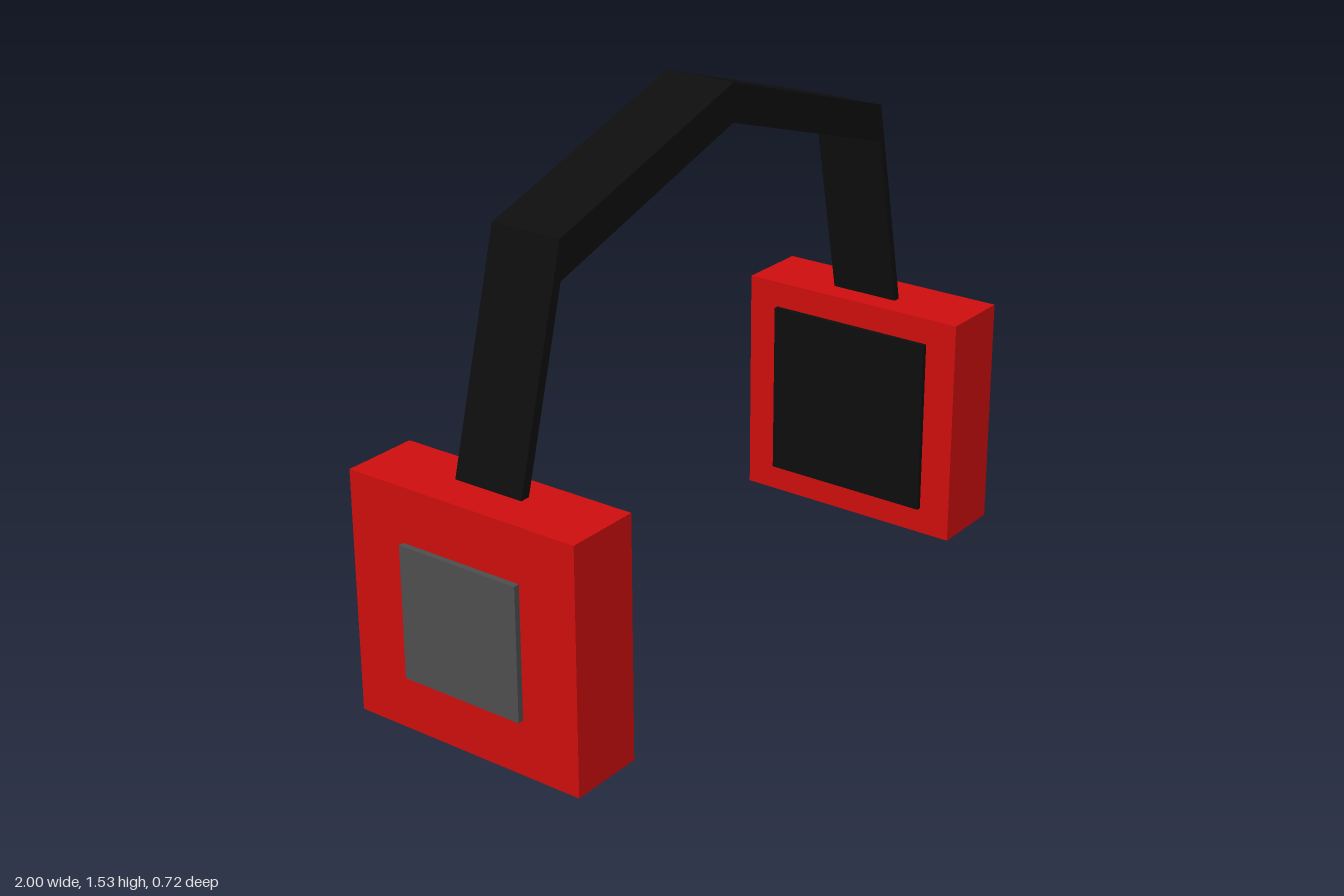
import * as THREE from 'three';

const material = (color) => new THREE.MeshStandardMaterial({ color, flatShading: true });

// Box given by its extents on each axis
function block(name, mat, [x0, x1], [y0, y1], [z0, z1]) {
  const mesh = new THREE.Mesh(new THREE.BoxGeometry(Math.abs(x1 - x0), y1 - y0, z1 - z0), mat);
  mesh.position.set((x0 + x1) / 2, (y0 + y1) / 2, (z0 + z1) / 2);
  mesh.name = name;
  return mesh;
}

export function createModel() {
  const model = new THREE.Group();
  model.name = 'headphones';
  const red = material(0xcc0d0d);
  const black = material(0x0d0d0d);
  const grey = material(0x4d4d4d);

  // Ear cups: shell, inner cushion and outer plate
  for (const [side, inner, outer] of [['left', 0.75, 0.97], ['right', -0.765, -0.983]]) {
    const s = Math.sign(outer);
    const cup = new THREE.Group();
    cup.name = side + 'EarCup';
    cup.add(
      block('shell', red, [inner, outer], [0, 0.683], [-0.36, 0.357]),
      block('cushion', black, [inner - s * 0.015, inner + s * 0.02], [0.08, 0.605], [-0.263, 0.26]),
      block('outerPlate', grey, [outer - s * 0.02, s], [0.157, 0.53], [-0.187, 0.185]),
    );
    model.add(cup);
  }

  // Headband: angular strip of constant vertical thickness, ends sunk in the cups
  const top = [[-0.873, 0.68], [-0.705, 1.305], [0, 1.53], [0.717, 1.305], [0.847, 0.68]];
  const under = top.map(([x, y]) => [x, y - 0.107]).reverse();
  const outline = new THREE.Shape([...top, ...under].map(([x, y]) => new THREE.Vector2(x, y)));
  const band = new THREE.Mesh(
    new THREE.ExtrudeGeometry(outline, { depth: 0.212, bevelEnabled: false }), black);
  band.position.z = -0.108;
  band.name = 'headband';
  model.add(band);

  return model;
}
